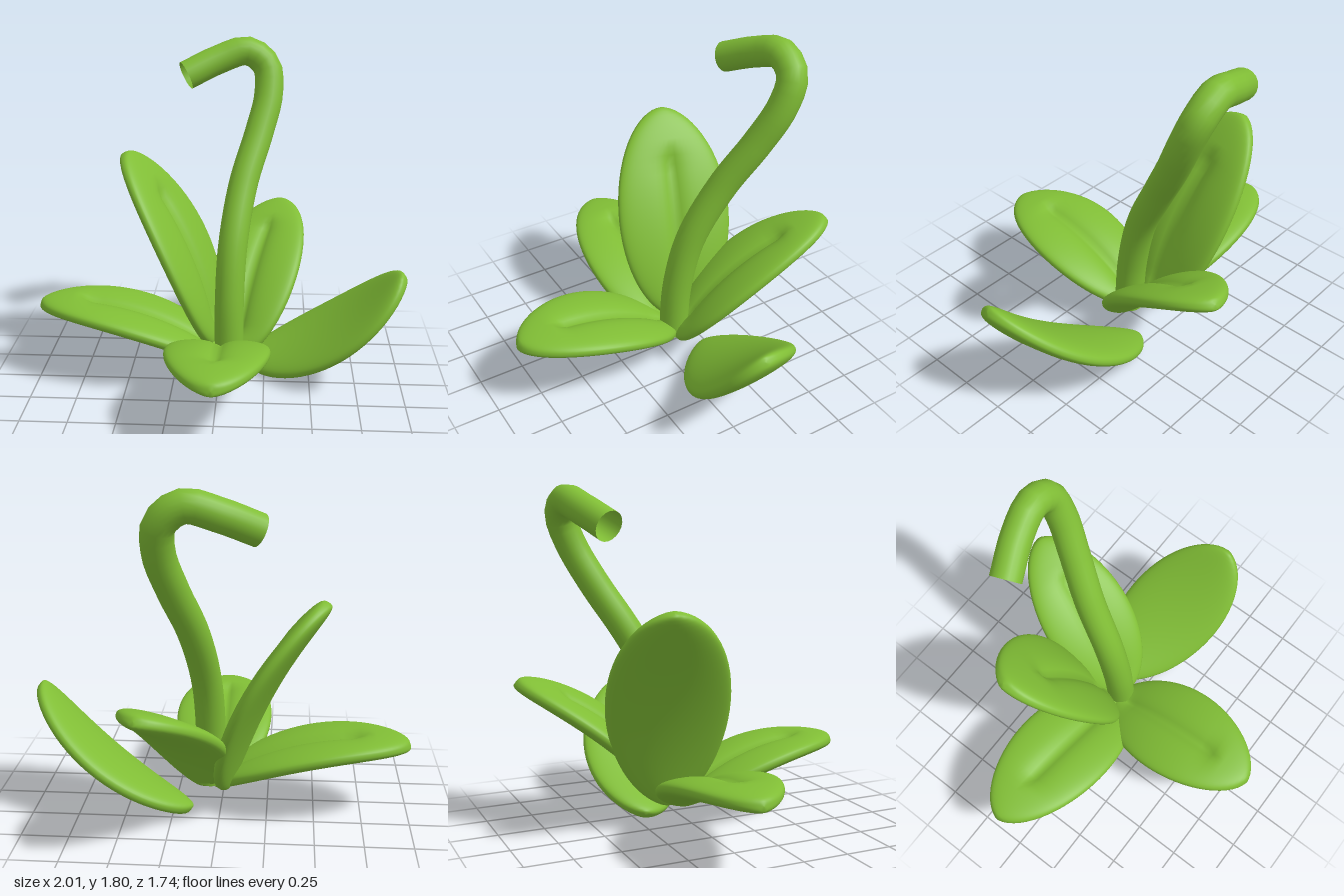
import * as THREE from 'three';

const V = (x, y, z) => new THREE.Vector3(x, y, z);
const green = new THREE.MeshStandardMaterial({ color: 0x80bd35, side: THREE.DoubleSide });

// Cushioned oval blade: full rounded rim, slightly cupped, arched lengthwise,
// with a midrib crease on the side that "face" points to.
function leaf(name, base, tip, face, halfWidth, arch = 0.085) {
  const rows = 32, sides = 56, thick = 0.064, cup = 0.012;
  const axis = tip.clone().sub(base);
  const normal = face.clone().addScaledVector(axis, -face.dot(axis) / axis.lengthSq()).normalize();
  const across = axis.clone().normalize().cross(normal);
  const pos = [], index = [];
  for (let i = 0; i <= rows; i++) {
    const t = (1 - Math.cos((Math.PI * i) / rows)) / 2;
    const swell = Math.max(0, Math.sin((Math.PI * i) / rows));
    const crease = 0.045 * THREE.MathUtils.smoothstep(t, 0.04, 0.15) * (1 - THREE.MathUtils.smoothstep(t, 0.74, 0.82));
    for (let j = 0; j < sides; j++) {
      const a = (2 * Math.PI * j) / sides, c = Math.cos(a), s = Math.sin(a);
      const side = halfWidth * Math.pow(swell, 1.12) * c;
      const cushion = thick * Math.pow(swell, 0.45) * Math.sign(s) * Math.pow(Math.abs(s), 0.8);
      let h = arch * 4 * t * (1 - t) + cup * swell * c * c + cushion;
      if (s > 0) h -= crease * Math.exp(-Math.abs(side) / 0.05) * s;
      const p = base.clone().addScaledVector(axis, t).addScaledVector(across, side).addScaledVector(normal, h);
      pos.push(p.x, p.y, p.z);
      if (i < rows) {
        const k = i * sides + j, n = i * sides + ((j + 1) % sides);
        index.push(k, k + sides, n, n, k + sides, n + sides);
      }
    }
  }
  const g = new THREE.BufferGeometry();
  g.setAttribute('position', new THREE.Float32BufferAttribute(pos, 3));
  g.setIndex(index);
  g.computeVertexNormals();
  const mesh = new THREE.Mesh(g, green);
  mesh.name = name;
  return mesh;
}

export function createModel() {
  const group = new THREE.Group();
  group.name = 'plant';

  // Hooked stem, open at the cut end
  const path = new THREE.CatmullRomCurve3([
    V(0.055, 0.14, -0.06), V(0.055, 0.45, -0.085), V(0.07, 0.75, -0.16), V(0.12, 1.05, -0.315),
    V(0.2, 1.3, -0.465), V(0.25, 1.5, -0.57), V(0.235, 1.65, -0.63), V(0.13, 1.728, -0.635),
    V(-0.03, 1.685, -0.6), V(-0.21, 1.605, -0.53),
  ]);
  const stem = new THREE.Mesh(new THREE.TubeGeometry(path, 40, 0.08, 20), green);
  stem.name = 'stem';
  group.add(stem);

  // Leaves around the foot; the last lies turned over, a little apart
  group.add(
    leaf('frontLeaf', V(0.015, 0.125, -0.08), V(0.01, 0.395, 0.86), V(0, 1, 0), 0.272),
    leaf('rightLeaf', V(0.05, 0.12, -0.04), V(-1.0, 0.4, -0.115), V(0, 1, 0), 0.27),
    leaf('uprightLeaf', V(-0.02, 0.14, -0.15), V(-0.535, 1.215, -0.335), V(1, 0.5, 0.25), 0.32, 0.075),
    leaf('backLeaf', V(0.1, 0.12, -0.05), V(0.34, 0.79, -0.86), V(-0.29, 0.8, 0.6), 0.26),
    leaf('leftLeaf', V(0.15, 0.03, -0.21), V(0.99, 0.645, 0.015), V(0.55, -0.8, -0.15), 0.285),
  );
  return group;
}
